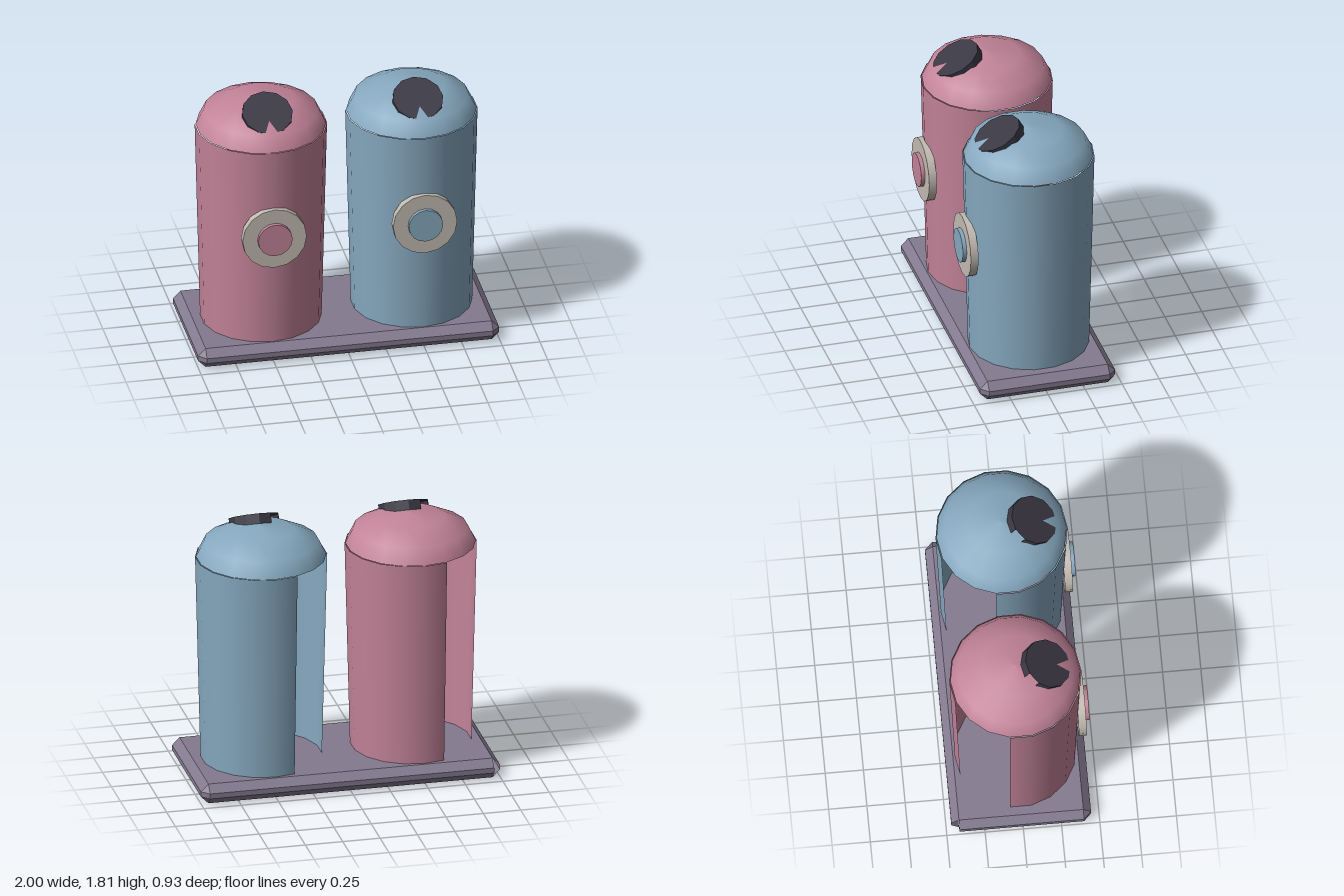
import * as THREE from 'three';

const SIDES = 18;
const mat = (color, flat = false) =>
  new THREE.MeshStandardMaterial({ color, flatShading: flat, side: THREE.DoubleSide });

const pink = mat(0xc28398), blue = mat(0x86a8bf), cream = mat(0xc2bbb2);
const slate = mat(0x837a8f, true), dark = mat(0x3a3743, true);

function add(parent, name, geometry, material, x = 0, y = 0, z = 0) {
  const mesh = new THREE.Mesh(geometry, material);
  mesh.name = name;
  mesh.position.set(x, y, z);
  parent.add(mesh);
  return mesh;
}

// Hollow tray with chamfered edges, open underneath and at the back corner on -x
function trayGeometry(w, h, d, c) {
  const position = [], index = [];
  const corners = [[1, 1], [1, -1], [-1, -1], [-1, 1]];
  const levels = [[0, c, c], [c, 0, c], [h - c, 0, c], [h, c, c]];
  for (const [y, side, inset] of levels)
    corners.forEach(([sx, sz], k) => {
      const onZ = [sx * (w / 2 - inset), y, sz * (d / 2 - side)];
      const onX = [sx * (w / 2 - side), y, sz * (d / 2 - inset)];
      position.push(...(k % 2 ? [...onX, ...onZ] : [...onZ, ...onX]));
    });
  const openCorner = 4;
  for (let j = 0; j < levels.length - 1; j++)
    for (let i = 0; i < 8; i++) {
      if (i === openCorner) continue;
      const a = j * 8 + i, b = j * 8 + (i + 1) % 8;
      index.push(a, b, b + 8, a, b + 8, a + 8);
    }
  index.push(24, 26, 28, 24, 28, 30);
  const geometry = new THREE.BufferGeometry();
  geometry.setAttribute('position', new THREE.Float32BufferAttribute(position, 3));
  geometry.setIndex(index);
  geometry.computeVertexNormals();
  return geometry;
}

// One recycling container, standing at the given x
function container(name, x, paint) {
  const g = new THREE.Group();
  g.name = name;
  g.position.set(x, 0, -0.007);

  // Tapered shell, open for three sides at the back
  const step = (Math.PI * 2) / SIDES;
  add(g, 'body', new THREE.CylinderGeometry(0.431, 0.396, 1.408, SIDES - 3, 1, true,
    13 * step, (SIDES - 3) * step), paint, 0, 0.836, 0);

  // Domed lid
  const profile = [[0.425, 1.54], [0.374, 1.645], [0.22, 1.722], [0, 1.748]]
    .map(([r, y]) => new THREE.Vector2(r, y));
  add(g, 'domeLid', new THREE.LatheGeometry(profile, SIDES), paint);

  // Tilted deposit hatch: a disc facing up and forward, on a rim with one gap
  const hatch = new THREE.Group();
  hatch.name = 'depositHatch';
  hatch.position.set(0, 1.728, 0.213);
  hatch.rotation.x = 0.498;
  add(hatch, 'hatchFace', new THREE.CircleGeometry(0.167, 12).rotateX(-Math.PI / 2), dark);
  add(hatch, 'hatchRim', new THREE.CylinderGeometry(0.167, 0.167, 0.067, 11, 1, true,
    Math.PI * 4 / 3, Math.PI * 11 / 6), dark, 0, -0.0335, 0);
  g.add(hatch);

  // Round front plate with a raised centre
  add(g, 'frontPlate', new THREE.CylinderGeometry(0.213, 0.213, 0.052, 16).rotateX(Math.PI / 2),
    cream, 0, 0.92, 0.422);
  add(g, 'frontPlateCentre', new THREE.CylinderGeometry(0.114, 0.114, 0.05, 16).rotateX(Math.PI / 2),
    paint, 0, 0.92, 0.449);
  return g;
}

export function createModel() {
  const model = new THREE.Group();
  model.name = 'recyclingContainers';
  add(model, 'base', trayGeometry(2, 0.135, 0.913, 0.05), slate, 0, 0, -0.01);
  model.add(container('pinkContainer', -0.5, pink), container('blueContainer', 0.5, blue));
  return model;
}
